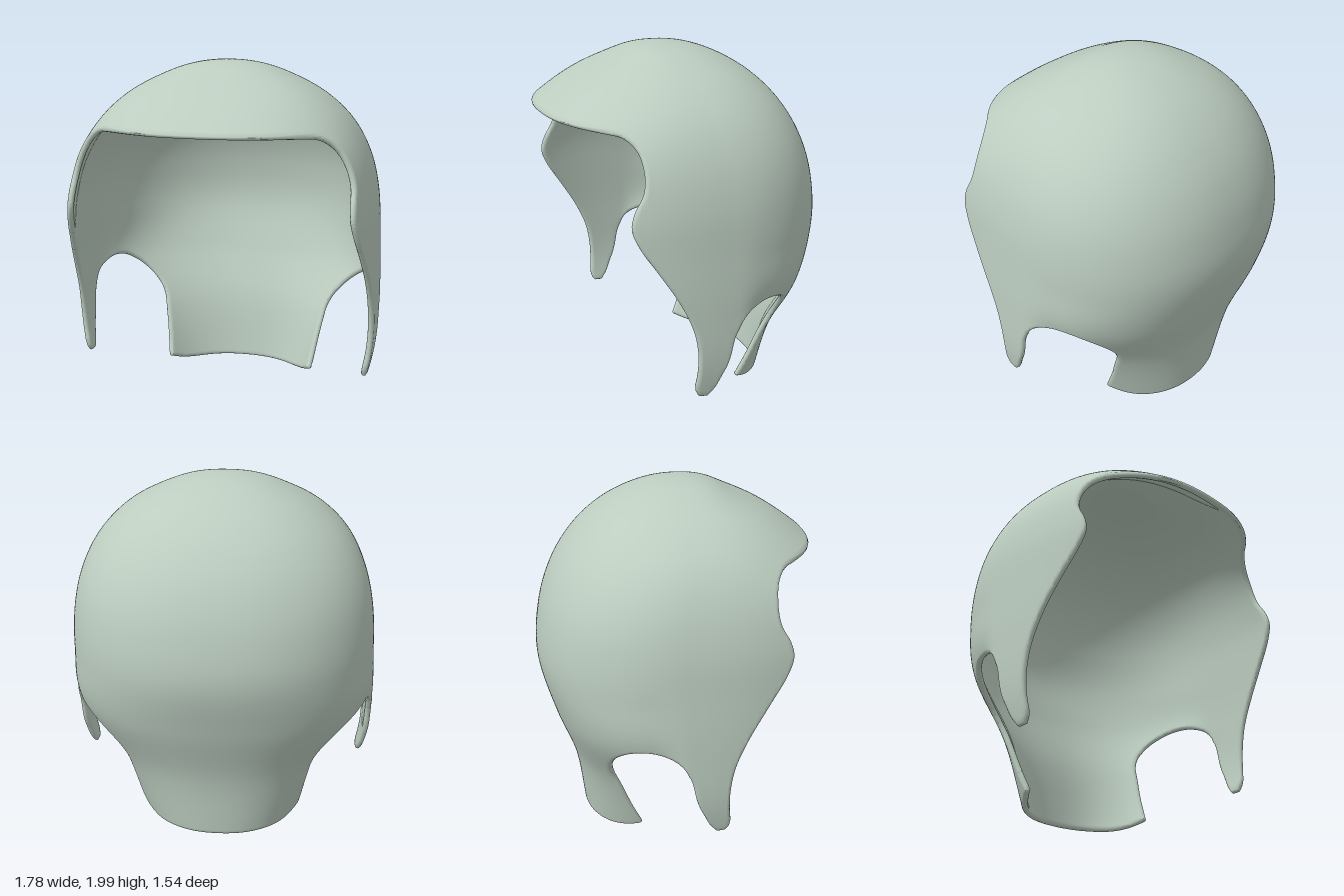
import * as THREE from 'three';
import { mergeVertices } from 'three/addons/utils/BufferGeometryUtils.js';

const THICKNESS = 0.035;
const AROUND = 168, DOWN = 112;

// Horizontal sections at y = 2 - 2t², t = 0, 0.1 … 1:
// [back z, front z, half width, half width of the neck flap]
const SECTIONS = [
  [0.07, 0.07, 0, 0],
  [-0.105, 0.22, 0.19, 0.19],
  [-0.27, 0.36, 0.365, 0.365],
  [-0.43, 0.565, 0.55, 0.55],
  [-0.57, 0.77, 0.7, 0.7],
  [-0.68, 1.0, 0.8, 0.8],
  [-0.75, 1.1, 0.855, 0.855],
  [-0.768, 1.1, 0.875, 0.87],
  [-0.69, 1.05, 0.887, 0.85],
  [-0.575, 1.0, 0.878, 0.64],
  [-0.52, 1.0, 0.8, 0.475],
];

// Cut line seen from the side, as [z, y]: brow, cheek, side lock, ear notch
const CUT_FRONT = [
  [1.3, 1.675], [0.9, 1.675], [0.75, 1.675], [0.6, 1.665], [0.53, 1.65], [0.485, 1.6], [0.47, 1.5],
  [0.485, 1.4], [0.54, 1.3], [0.557, 1.22], [0.52, 1.12], [0.43, 0.98], [0.32, 0.8],
  [0.25, 0.64], [0.225, 0.5], [0.225, 0.38], [0.232, 0.29], [0.21, 0.24], [0.165, 0.23],
  [0.125, 0.27], [0.08, 0.36], [0.04, 0.45], [0.012, 0.57], [-0.02, 0.64], [-0.08, 0.695],
  [-0.2, 0.725], [-0.3, 0.705], [-0.37, 0.64], [-0.395, 0.55], [-0.385, 0.46],
  [-0.34, 0.35], [-0.28, 0.2], [-0.215, 0.065],
];
// Lower hem of the neck flap
const CUT_HEM = [[-0.215, 0.065], [-0.3, 0.03], [-0.38, 0.01], [-0.5, 0.004], [-1.2, 0.004]];

function smoothLine(points, count) {
  const curve = new THREE.CatmullRomCurve3(points.map(([z, y]) => new THREE.Vector3(z, y, 0)));
  return curve.getPoints(count).map((p) => [p.x, p.y]);
}

const outline = [
  ...smoothLine(CUT_FRONT, 150),
  ...smoothLine(CUT_HEM, 24).slice(1),
  [-1.2, 2.5], [1.3, 2.5],
];

// Signed distance to the outline, positive inside
function insideDistance(z, y) {
  let best = Infinity, inside = false;
  for (let i = 0, j = outline.length - 1; i < outline.length; j = i++) {
    const [az, ay] = outline[j], [bz, by] = outline[i];
    const dz = bz - az, dy = by - ay;
    const k = THREE.MathUtils.clamp(((z - az) * dz + (y - ay) * dy) / (dz * dz + dy * dy || 1), 0, 1);
    best = Math.min(best, Math.hypot(z - az - k * dz, y - ay - k * dy));
    if ((ay > y) !== (by > y) && z < az + ((y - ay) / dy) * dz) inside = !inside;
  }
  return inside ? best : -best;
}

function section(t, column) {
  const f = THREE.MathUtils.clamp(t, 0, 1) * 10;
  const i = Math.min(Math.floor(f), 9), k = f - i;
  const at = (n) => SECTIONS[Math.min(n, 10)][column];
  const p1 = at(i), p2 = at(i + 1);
  const p0 = i > 0 ? at(i - 1) : 2 * p1 - p2;
  const p3 = i < 9 ? at(i + 2) : 2 * p2 - p1;
  const m1 = (p2 - p0) / 2, m2 = (p3 - p1) / 2;
  return p1 + k * (m1 + k * (3 * (p2 - p1) - 2 * m1 - m2 + k * (2 * (p1 - p2) + m1 + m2)));
}

// Outer skin: u runs round from the back, t from crown to hem
function skin(u, t) {
  const y = 2 - 2 * t * t;
  const s = Math.sin(u), c = -Math.cos(u);
  const power = 2 / (c > 0 ? 2.4 : 2.2);
  const along = Math.sign(c) * Math.pow(Math.abs(c), power);
  const middle = 0.07 * THREE.MathUtils.smoothstep(y, 1.3, 1.9);
  const reach = c > 0 ? section(t, 1) - middle : middle - section(t, 0);
  const width = THREE.MathUtils.lerp(section(t, 3), section(t, 2), THREE.MathUtils.smoothstep(along, -0.3, 0));
  return new THREE.Vector3(width * Math.sign(s) * Math.pow(Math.abs(s), power), y, middle + reach * along);
}

function skinNormal(u, t) {
  const e = 0.012, k = THREE.MathUtils.clamp(t, 0.02, 1 - e);
  const du = skin(u + e, k).sub(skin(u - e, k));
  const dt = skin(u, k + e).sub(skin(u, k - e));
  return du.cross(dt).normalize();
}

// Keep the part of a polygon on one side of a distance level
function clip(poly, level, sign) {
  const out = [];
  poly.forEach((a, i) => {
    const b = poly[(i + 1) % poly.length];
    const inA = sign * (a.d - level) >= 0, inB = sign * (b.d - level) >= 0;
    if (inA) out.push(a);
    if (inA !== inB) {
      const [hi, lo] = a.d > b.d ? [a, b] : [b, a];
      const k = (hi.d - level) / (hi.d - lo.d);
      out.push({ u: hi.u + (lo.u - hi.u) * k, t: hi.t + (lo.t - hi.t) * k, d: level });
    }
  });
  return out;
}

// Trimmed shell with rounded edges: both skins meet along the cut line
function shellGeometry() {
  const grid = [];
  for (let j = 0; j <= DOWN; j++) {
    for (let i = 0; i <= AROUND; i++) {
      const u = (i / AROUND) * Math.PI * 2, t = j / DOWN;
      const p = skin(u, t);
      grid.push({ u, t, d: insideDistance(p.z, p.y) });
    }
  }
  const edge = 0.02, levels = [0, 0.003, 0.01, edge, 100];
  const positions = [];
  const place = (v, side) => {
    const rim = 1 - Math.min(v.d / edge, 1);
    const half = (THICKNESS / 2) * Math.sqrt(1 - rim * rim);
    const p = skin(v.u, v.t).addScaledVector(skinNormal(v.u, v.t), side * half - THICKNESS / 2);
    positions.push(...p.toArray().map((n) => Math.round(n * 1e5) / 1e5));
  };
  const addTriangle = (tri) => {
    if (tri.every((v) => v.d <= 0)) return;
    for (let b = 0; b < levels.length - 1; b++) {
      const poly = clip(clip(tri, levels[b], 1), levels[b + 1], -1);
      for (let i = 1; i < poly.length - 1; i++) {
        [poly[0], poly[i], poly[i + 1]].forEach((v) => place(v, 1));
        [poly[0], poly[i + 1], poly[i]].forEach((v) => place(v, -1));
      }
    }
  };
  for (let j = 0; j < DOWN; j++) {
    for (let i = 0; i < AROUND; i++) {
      const a = grid[j * (AROUND + 1) + i], b = grid[j * (AROUND + 1) + i + 1];
      const c = grid[(j + 1) * (AROUND + 1) + i], d = grid[(j + 1) * (AROUND + 1) + i + 1];
      if (j > 0) addTriangle([a, b, c]);
      addTriangle([b, d, c]);
    }
  }
  const raw = new THREE.BufferGeometry();
  raw.setAttribute('position', new THREE.Float32BufferAttribute(positions, 3));
  const geometry = mergeVertices(raw, 1e-5);
  geometry.computeVertexNormals();
  return geometry;
}

export function createModel() {
  const group = new THREE.Group();
  group.name = 'hairCap';
  const material = new THREE.MeshStandardMaterial({ color: 0xbccdc0, side: THREE.DoubleSide });
  const shell = new THREE.Mesh(shellGeometry(), material);
  shell.name = 'hairShell';
  group.add(shell);
  return group;
}
